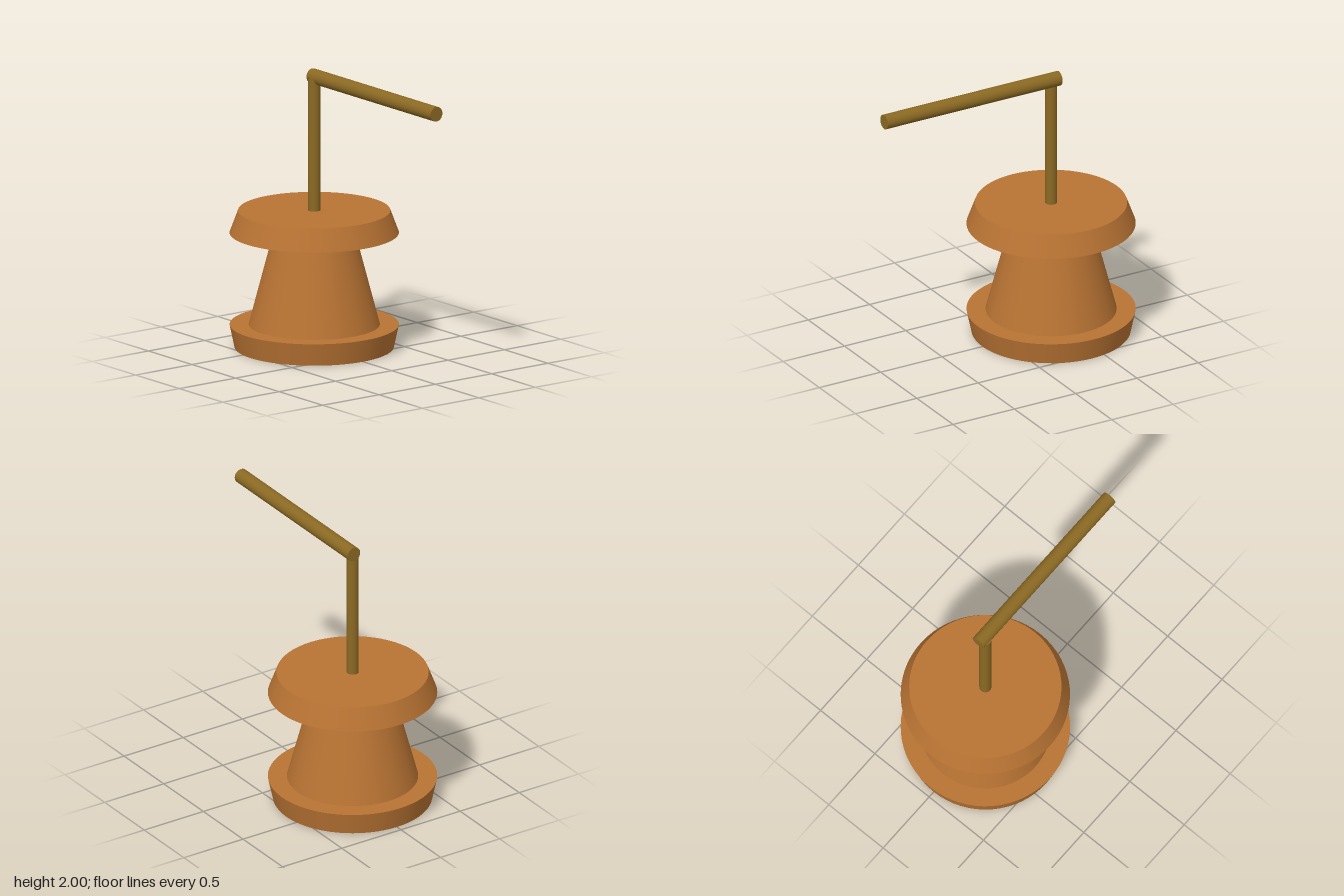
import * as THREE from 'three';

export function createModel() {
  const model = new THREE.Group();
  const copper = new THREE.MeshStandardMaterial({ name: 'copper brown', color: 0xb87333 });
  const brass = new THREE.MeshStandardMaterial({ name: 'dark brass', color: 0x8b6923 });
  const axisZ = -0.39;

  // Upright round part between two heights, with its own top and bottom radius
  function round(name, material, rBottom, rTop, y0, y1, sides = 64) {
    const mesh = new THREE.Mesh(new THREE.CylinderGeometry(rTop, rBottom, y1 - y0, sides), material);
    mesh.name = name;
    mesh.position.set(0, (y0 + y1) / 2, axisZ);
    model.add(mesh);
    return mesh;
  }

  // Flared foot, tapering body and bevelled cap
  round('base', copper, 0.56, 0.595, 0, 0.163);
  round('body', copper, 0.461, 0.287, 0.163, 0.826);
  round('cap', copper, 0.595, 0.535, 0.826, 0.987);

  // Upright post
  round('post', brass, 0.043, 0.043, 0.98, 1.955, 32);

  // Horizontal handle reaching forward, set slightly to one side of the post
  const handle = round('handle', brass, 0.053, 0.053, 0, 1.425, 32);
  handle.rotation.x = Math.PI / 2;
  handle.position.set(0.022, 1.947, 0.2725);

  return model;
}
